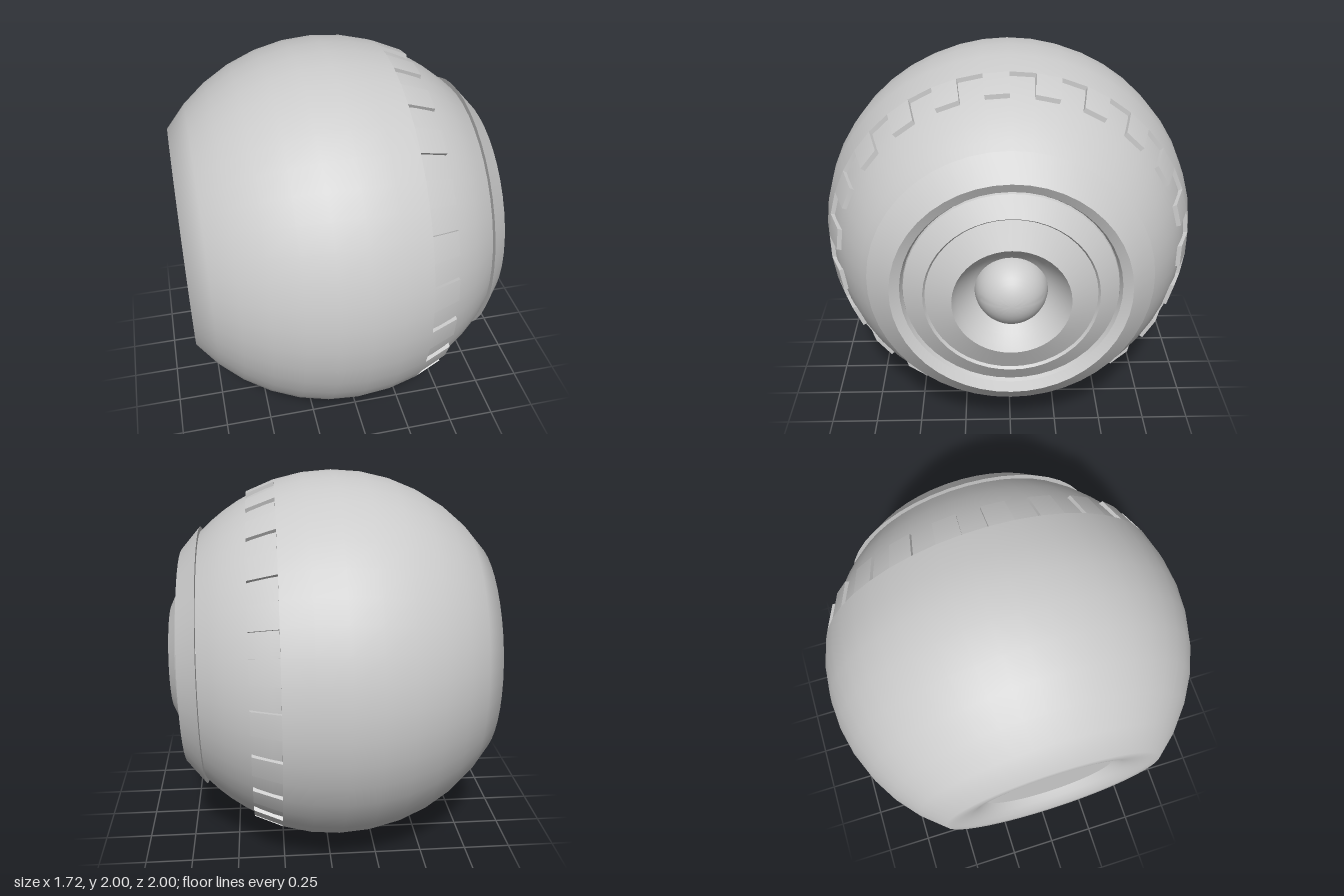
import * as THREE from 'three';
import { toCreasedNormals } from 'three/addons/utils/BufferGeometryUtils.js';

const TEETH = 23;
const SEG = TEETH * 2;
const STEP = (Math.PI * 2) / SEG; // angular width of one tooth or gap
const CENTRE = -0.05; // x of the sphere centre
const INNER = 0.98; // radius of the recessed front dome
const material = new THREE.MeshStandardMaterial({ color: 0xcccccc });
const rad = THREE.MathUtils.degToRad;

// Points [x, r] along a sphere, by latitude in degrees from the middle
function arc(from, to, radius, step = 9, centre = CENTRE) {
  const pts = [];
  const n = Math.round((to - from) / step);
  for (let i = 0; i <= n; i++) {
    const a = rad(from + ((to - from) * i) / n);
    pts.push([centre + Math.sin(a) * radius, Math.max(0, Math.cos(a) * radius)]);
  }
  return pts;
}

// Revolve an [x, r] profile, listed from back to front, around the x axis
function revolve(name, profile, crease = 0.35) {
  const pts = profile.map(([x, r]) => new THREE.Vector2(r, x));
  const geo = new THREE.LatheGeometry(pts, SEG, STEP / 2);
  geo.rotateZ(-Math.PI / 2);
  const mesh = new THREE.Mesh(toCreasedNormals(geo, crease), material);
  mesh.name = name;
  return mesh;
}

// One raised tooth: a box bent onto the sphere
function toothGeometry() {
  const geo = new THREE.BoxGeometry(1, 1, 1);
  const pos = geo.attributes.position;
  for (let i = 0; i < pos.count; i++) {
    const lat = rad(pos.getX(i) < 0 ? 18 : 27);
    const x = Math.sin(lat);
    const inner = Math.sqrt(0.965 * 0.965 - x * x);
    const r = pos.getY(i) > 0 ? Math.cos(lat) : inner;
    const a = pos.getZ(i) * STEP;
    pos.setXYZ(i, x, r * Math.cos(a), r * Math.sin(a));
  }
  const oldNormals = geo.attributes.normal.clone();
  geo.computeVertexNormals();
  // Outer face keeps the smooth curvature of the shell
  const v = new THREE.Vector3();
  for (let i = 0; i < pos.count; i++) {
    if (oldNormals.getY(i) < 0.5) continue;
    v.fromBufferAttribute(pos, i).normalize();
    geo.attributes.normal.setXYZ(i, v.x, v.y, v.z);
  }
  return geo;
}

export function createModel() {
  const model = new THREE.Group();
  model.name = 'sphericalEye';
  const body = new THREE.Group();
  body.name = 'body';
  body.position.y = 1;
  model.add(body);

  // Main shell with its soft-rimmed rear hollow and front step
  const edge = Math.sin(rad(18));
  body.add(revolve('mainShell', [
    [-0.79, 0.355], [-0.825, 0.40], [-0.848, 0.46], [-0.86, 0.53],
    ...arc(-54, 18, 1),
    [CENTRE + edge, Math.sqrt(0.96 * 0.96 - edge * edge)],
  ], 0.85));
  body.add(revolve('rearPlate', [[-0.79, 0], [-0.79, 0.36]].map(([x, r]) => [x, r])));

  // Teeth around the front edge of the shell
  const teeth = new THREE.Group();
  teeth.name = 'shellTeeth';
  teeth.position.x = CENTRE;
  const geo = toothGeometry();
  for (let i = 0; i < TEETH; i++) {
    const tooth = new THREE.Mesh(geo, material);
    tooth.name = 'tooth';
    tooth.rotation.x = (2 * i + 0.5) * STEP;
    teeth.add(tooth);
  }
  body.add(teeth);

  // Recessed dome between the shell and the eye housing
  body.add(revolve('frontDome', arc(16, 46, INNER, 5)));

  // Conical housing with an inward lip
  body.add(revolve('eyeHousing', [
    [0.657, 0.66], [0.657, 0.707], [0.759, 0.588],
    [0.735, 0.54], [0.70, 0.524],
  ], 0.3));

  // Stepped rings inside the housing
  body.add(revolve('outerRing', [
    [0.70, 0.53], [0.723, 0.524], [0.782, 0.426], [0.768, 0.416],
  ], 0.3));
  body.add(revolve('innerRing', [[0.766, 0.418], [0.828, 0.286]]));

  // Curved socket around the pupil
  body.add(revolve('socket', [
    [0.828, 0.286], [0.79, 0.262], [0.75, 0.228], [0.715, 0.195], [0.69, 0.16],
  ], 0.5));

  // Domed pupil
  body.add(revolve('pupil', arc(0, 90, 0.18, 9, 0.68)));

  return model;
}
